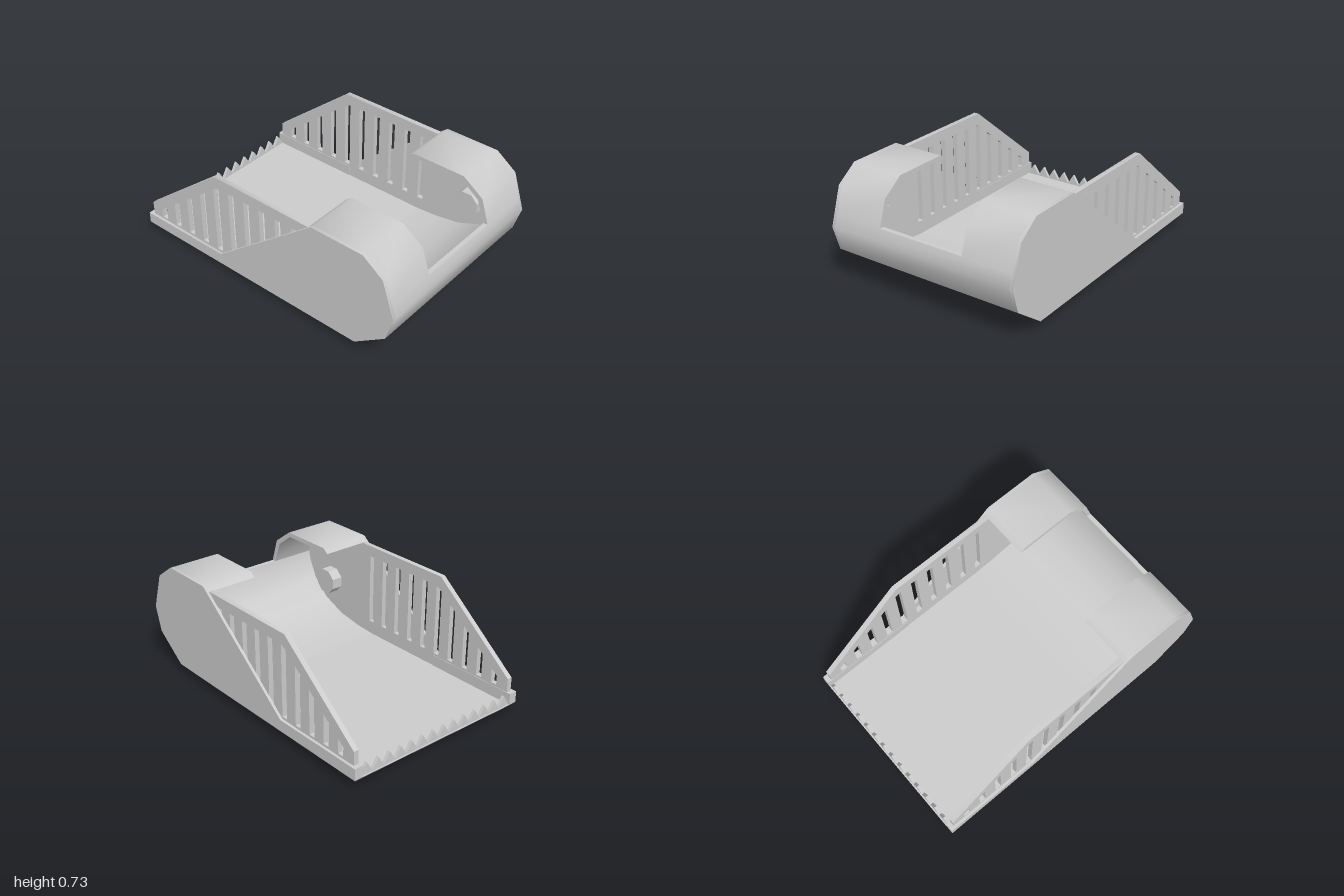
import * as THREE from 'three';
import { toCreasedNormals } from 'three/addons/utils/BufferGeometryUtils.js';

const HALF = 0.655;   // outer half width
const SKIN = 0.635;   // inner face of the outer cheeks
const BASE = 0.06;    // top of the floor slab

export function createModel() {
  const model = new THREE.Group();
  const material = new THREE.MeshStandardMaterial({ color: 0xcccccc });

  const add = (name, geometry) => {
    const mesh = new THREE.Mesh(toCreasedNormals(geometry, 0.7), material);
    mesh.name = name;
    model.add(mesh);
    return mesh;
  };
  const toShape = (points) => new THREE.Shape(points.map(([a, b]) => new THREE.Vector2(a, b)));

  // Extrudes a (z, y) outline across x from x0 to x1
  const across = (shape, x0, x1) =>
    new THREE.ExtrudeGeometry(shape, { depth: x1 - x0, bevelEnabled: false })
      .rotateY(-Math.PI / 2)
      .translate(x1, 0, 0);

  // Adds a part on the left and its mirror on the right
  const addPair = (name, build) => {
    add(name + 'Left', build(1));
    add(name + 'Right', build(-1));
  };
  const sidePart = (shape, x0, x1) => (s) =>
    s > 0 ? across(shape, x0, x1) : across(shape, -x1, -x0);

  // Floor slab, tapering inwards towards the ground
  const floor = new THREE.BoxGeometry(2 * HALF, BASE, 2).translate(0, BASE / 2, 0);
  const p = floor.attributes.position;
  for (let i = 0; i < p.count; i++) {
    const low = p.getY(i) < BASE / 2;
    if (low) p.setX(i, Math.sign(p.getX(i)) * 0.6);
    if (p.getZ(i) > 0) p.setZ(i, low ? 0.65 : 0.732);
    else p.setZ(i, low ? -0.94 : -1);
  }
  add('floor', floor);

  // Front wall with a scooped inner face
  add('frontWall', across(toShape([
    [0.25, BASE], [0.732, BASE], [0.95, 0.22], [1, 0.385], [0.974, 0.465], [0.945, 0.465],
    [0.93, 0.4], [0.87, 0.28], [0.75, 0.17], [0.58, 0.1], [0.4, 0.07],
  ]), -SKIN, SKIN));

  // Curved hoods on either side of the front opening
  addPair('hood', sidePart(toShape([
    [0.974, 0.465], [0.92, 0.63], [0.78, 0.73], [0.41, 0.73],
    [0.372, 0.7], [0.77, 0.7], [0.89, 0.61], [0.945, 0.465],
  ]), 0.295, SKIN));

  // Outer cheeks, sloping down to the rear
  addPair('cheek', sidePart(toShape([
    [-1, BASE], [0.732, BASE], [0.95, 0.22], [1, 0.385], [0.92, 0.63],
    [0.78, 0.73], [0.41, 0.73], [-0.34, 0.135], [-1, 0.135],
  ]), SKIN, HALF));

  // Low rails along the rear sides
  addPair('rail', (s) => new THREE.BoxGeometry(0.054, 0.075, 0.66)
    .translate(s * 0.627, BASE + 0.0375, -0.67));

  // Side grilles with upright slots that follow the sloping top
  const grille = toShape([
    [-0.97, BASE], [0.72, BASE], [0.93, 0.22], [0.98, 0.385], [0.9, 0.615],
    [0.77, 0.702], [-0.37, 0.702], [-0.97, 0.225],
  ]);
  const slotTop = (z) => Math.min(0.63, 0.615 + 0.79 * (z + 0.37));
  for (let i = 0; i < 10; i++) {
    const z = 0.265 - i * 0.125;
    const a = z - 0.022, b = z + 0.022;
    grille.holes.push(new THREE.Path([
      new THREE.Vector2(a, 0.15), new THREE.Vector2(a, slotTop(a)),
      new THREE.Vector2(b, slotTop(b)), new THREE.Vector2(b, 0.15),
    ]));
  }
  addPair('grille', sidePart(grille, 0.603, SKIN + 0.002));

  // Octagonal pivot bosses inside the front
  addPair('pivotBoss', (s) => new THREE.CylinderGeometry(0.09, 0.09, 0.08, 8)
    .rotateY(Math.PI / 8).rotateZ(Math.PI / 2).translate(s * 0.565, 0.34, 0.67));

  // Row of teeth along the rear lip
  const teeth = 14, pitch = 1.2 / teeth;
  const outline = [[-0.6, 0.05]];
  for (let i = 0; i < teeth; i++) {
    const x = -0.6 + i * pitch;
    outline.push([x, BASE + 0.004], [x + pitch / 2, 0.132]);
  }
  outline.push([0.6, BASE + 0.004], [0.6, 0.05]);
  add('rearTeeth', new THREE.ExtrudeGeometry(toShape(outline.reverse()),
    { depth: 0.02, bevelEnabled: false }).translate(0, 0, -0.99));

  return model;
}
